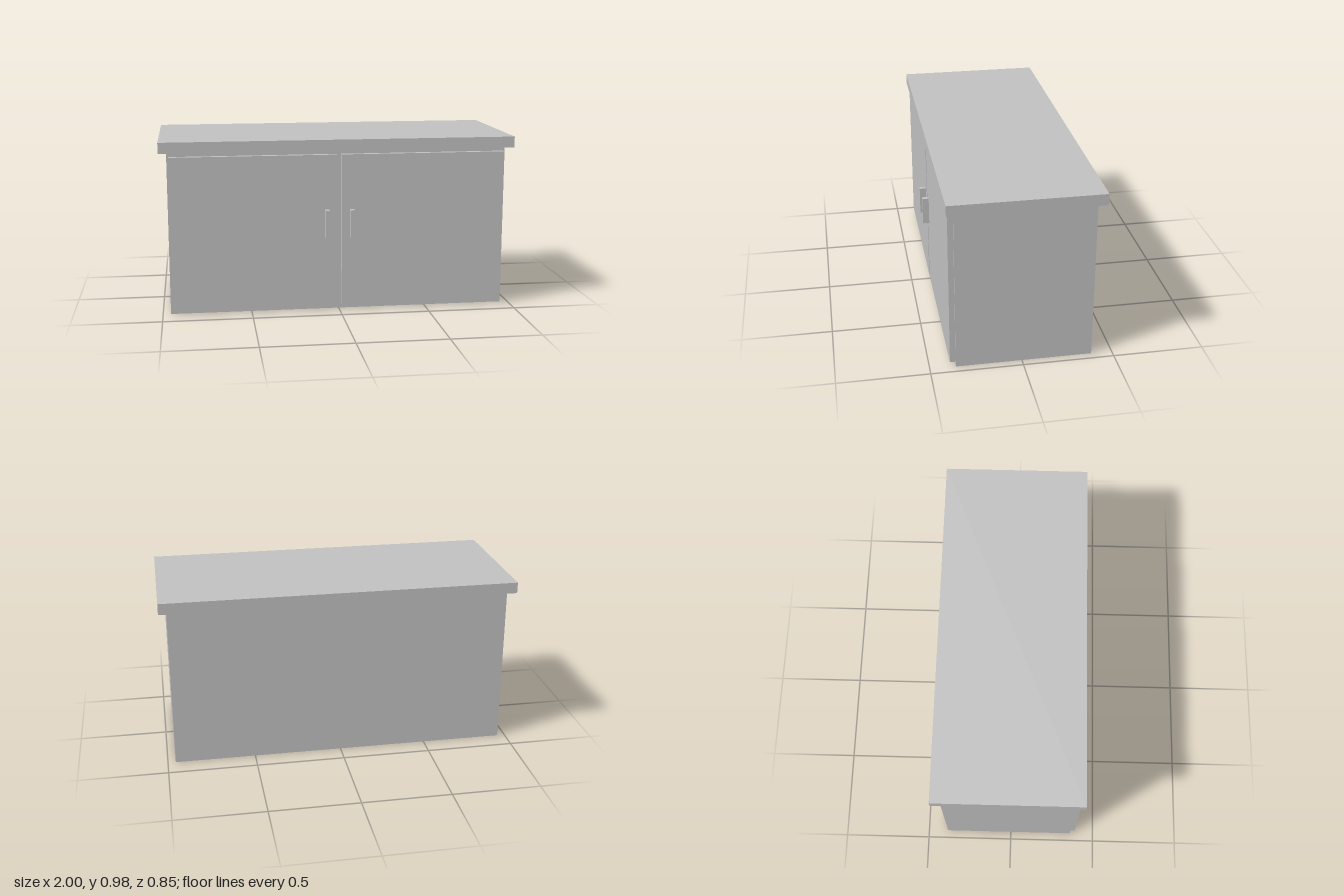
import * as THREE from 'three';

export function createModel() {
  const model = new THREE.Group();
  model.name = 'cabinet';

  const grey = new THREE.MeshStandardMaterial({ color: 0xc0c0c0 });
  grey.name = 'light grey';

  // Box given by its minimum and maximum on each axis
  function addBox(name, [x0, x1], [y0, y1], [z0, z1]) {
    const mesh = new THREE.Mesh(new THREE.BoxGeometry(x1 - x0, y1 - y0, z1 - z0), grey);
    mesh.position.set((x0 + x1) / 2, (y0 + y1) / 2, (z0 + z1) / 2);
    mesh.name = name;
    model.add(mesh);
  }

  // Carcass and overhanging worktop
  addBox('carcass', [-0.956, 0.956], [0, 0.918], [-0.385, 0.36]);
  addBox('worktop', [-1, 1], [0.918, 0.98], [-0.427, 0.402]);

  // Mirrored pair of doors with upright handles
  for (const [side, s] of [['left', 1], ['right', -1]]) {
    const span = (a, b) => (s > 0 ? [a, b] : [-b, -a]);
    addBox(side + 'Door', span(0.013, 0.944), [0.023, 0.895], [0.36, 0.39]);
    addBox(side + 'Handle', span(0.059, 0.083), [0.425, 0.584], [0.39, 0.427]);
  }

  return model;
}
